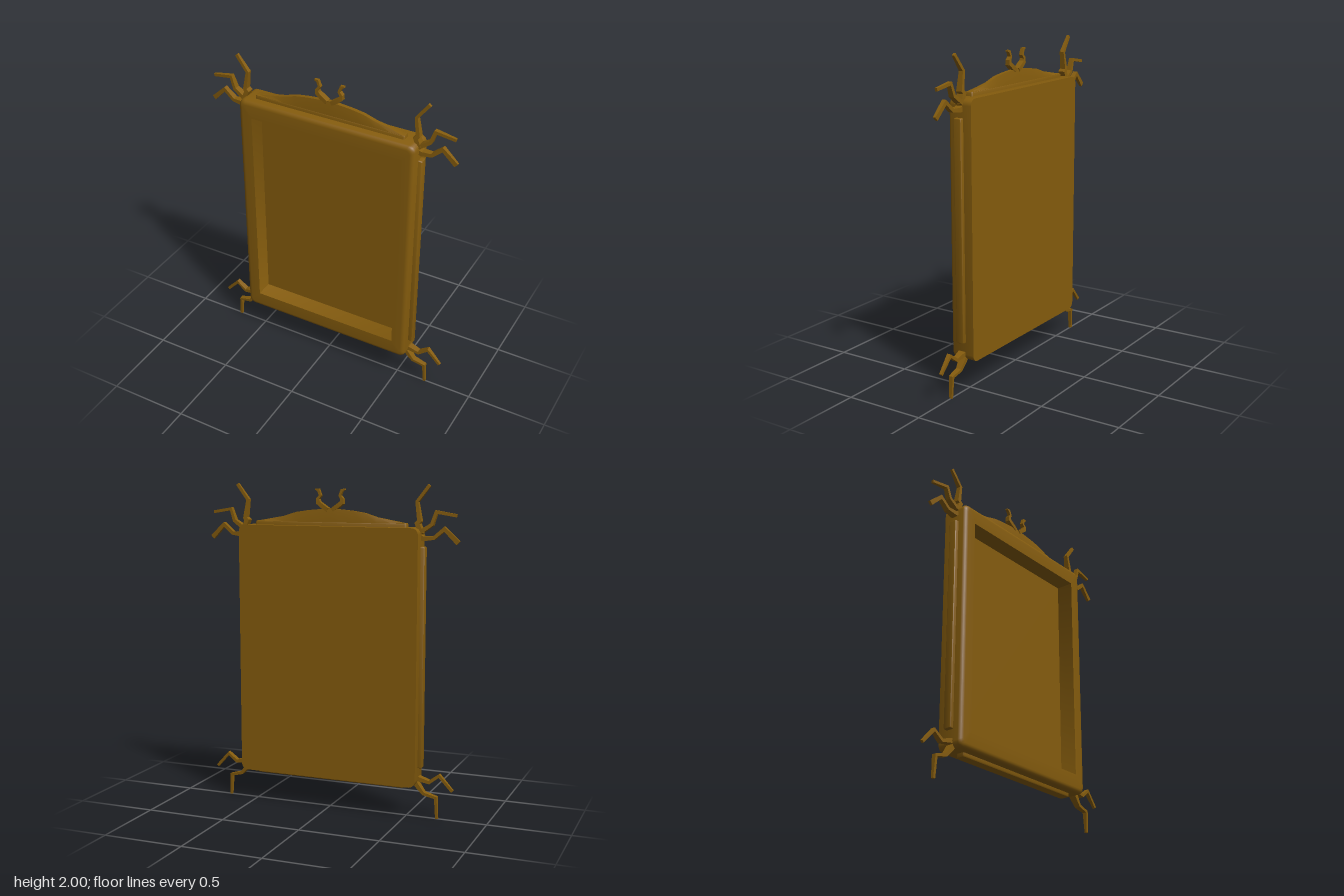
import * as THREE from 'three';
import { toCreasedNormals } from 'three/addons/utils/BufferGeometryUtils.js';

const V = (x, y, z) => new THREE.Vector3(x, y, z);
const material = new THREE.MeshStandardMaterial({ color: 0x855c0d });

// Skin between rings that run counter-clockwise about the direction of travel, with both ends capped
function loft(rings, crease = 0.6) {
  const n = rings[0].length, index = [];
  for (let r = 0; r < rings.length - 1; r++) {
    for (let i = 0; i < n; i++) {
      const a = r * n + i, b = r * n + (i + 1) % n;
      index.push(a, b, b + n, a, b + n, a + n);
    }
  }
  const last = (rings.length - 1) * n;
  for (let i = 1; i < n - 1; i++) {
    index.push(0, i + 1, i);
    index.push(last, last + i, last + i + 1);
  }
  const geometry = new THREE.BufferGeometry().setFromPoints(rings.flat());
  geometry.setIndex(index);
  return toCreasedNormals(geometry, crease);
}

// Rounded rectangle ring at depth z
function roundedRing(w, h, radius, z, steps = 5) {
  const points = [];
  [[1, 1], [-1, 1], [-1, -1], [1, -1]].forEach(([sx, sy], corner) => {
    for (let i = 0; i <= steps; i++) {
      const t = (corner + i / steps) * Math.PI / 2;
      points.push(V(sx * (w / 2 - radius) + radius * Math.cos(t),
        sy * (h / 2 - radius) + radius * Math.sin(t), z));
    }
  });
  return points;
}

// Jointed limb with a mitred rectangular section; joints are [x, y, halfWidth, halfDepth]
function limb(joints, side) {
  const p = joints.map(([x, y]) => new THREE.Vector2(x * side, y));
  const rings = joints.map(([, , w, d], i) => {
    const before = p[Math.max(i - 1, 0)], after = p[Math.min(i + 1, p.length - 1)];
    const d1 = (i ? p[i].clone().sub(before) : after.clone().sub(p[i])).normalize();
    const d2 = (i < p.length - 1 ? after.clone().sub(p[i]) : d1.clone()).normalize();
    const t = d1.clone().add(d2).normalize();
    const k = w / Math.max(t.dot(d1), 0.6);
    const nx = -t.y * k, ny = t.x * k;
    return [[-1, -1], [1, -1], [1, 1], [-1, 1]].map(([s, q]) => V(p[i].x + s * nx, p[i].y + s * ny, q * d));
  });
  return loft(rings, 0.3);
}

export function createModel() {
  const model = new THREE.Group();
  const add = (name, geometry) => {
    const mesh = new THREE.Mesh(geometry, material);
    mesh.name = name;
    model.add(mesh);
    return mesh;
  };

  // Tray-like frame: square back edge, rounded front edge, recessed panel
  const W = 1.15, H = 1.55, bevel = 0.03;
  const rings = [roundedRing(W, H, 0.04, -0.08)];
  for (let i = 0; i <= 5; i++) {
    const t = i / 5 * Math.PI / 2, inset = bevel * (1 - Math.cos(t));
    rings.push(roundedRing(W - 2 * inset, H - 2 * inset, 0.04 - inset * 0.5, 0.05 + bevel * Math.sin(t)));
  }
  rings.push(roundedRing(0.97, 1.33, 0.001, 0.08), roundedRing(0.97, 1.33, 0.001, -0.03));
  add('frame', loft(rings)).position.y = 0.975;

  // Raised strips along the four edges
  const strip = (w, h) => loft([
    roundedRing(w, h, 0.008, -0.02), roundedRing(w, h, 0.008, 0.017),
    roundedRing(w - 0.006, h - 0.006, 0.006, 0.023), roundedRing(w - 0.016, h - 0.016, 0.004, 0.025),
  ]);
  for (const [side, name] of [[1, 'leftStrip'], [-1, 'rightStrip']]) {
    add(name, strip(0.052, 1.33).rotateY(side * Math.PI / 2)).position.set(side * 0.575, 0.975, 0);
  }
  add('bottomStrip', strip(0.97, 0.052).rotateX(Math.PI / 2)).position.y = 0.2;
  add('topStrip', strip(0.97, 0.052).rotateX(-Math.PI / 2)).position.y = 1.75;

  // Arched crest narrowing to a ridge
  const half = [[0, 1.856], [0.05, 1.85], [0.14, 1.842], [0.22, 1.83], [0.3, 1.805], [0.39, 1.789], [0.475, 1.774]];
  const arch = [...half.slice(1).reverse().map(([x, y]) => [-x, y]), ...half];
  add('crest', loft(arch.map(([x, y]) => {
    const mid = Math.min(1.772, y - 0.002);
    return [[1.74, -0.024], [mid, -0.024], [y, -0.012], [y, 0.012], [mid, 0.024], [1.74, 0.024]]
      .map(([py, z]) => V(x, py, z));
  })));

  // Jointed legs at the corners and hooked mandibles on the crest
  const limbs = {
    UpperInnerLeg: [[0.575, 1.715, 0.014, 0.024], [0.55, 1.775, 0.014, 0.022], [0.562, 1.79, 0.012, 0.02],
      [0.545, 1.9, 0.009, 0.014], [0.618, 1.995, 0.01, 0.008]],
    UpperMiddleLeg: [[0.555, 1.715, 0.012, 0.024], [0.585, 1.735, 0.012, 0.022], [0.637, 1.77, 0.01, 0.018],
      [0.662, 1.842, 0.009, 0.014], [0.783, 1.822, 0.009, 0.008]],
    UpperOuterLeg: [[0.55, 1.7, 0.014, 0.024], [0.59, 1.687, 0.014, 0.022], [0.65, 1.692, 0.01, 0.018],
      [0.712, 1.745, 0.011, 0.014], [0.795, 1.665, 0.015, 0.008]],
    LowerOuterLeg: [[0.55, 0.24, 0.014, 0.024], [0.58, 0.242, 0.014, 0.022], [0.645, 0.226, 0.009, 0.018],
      [0.705, 0.272, 0.008, 0.014], [0.787, 0.182, 0.009, 0.008]],
    LowerInnerLeg: [[0.55, 0.23, 0.014, 0.024], [0.575, 0.195, 0.013, 0.022], [0.61, 0.152, 0.009, 0.018],
      [0.685, 0.133, 0.008, 0.014], [0.692, 0.002, 0.008, 0.008]],
    Mandible: [[0.015, 1.845, 0.012, 0.018], [0.05, 1.868, 0.013, 0.018], [0.076, 1.888, 0.012, 0.016],
      [0.078, 1.91, 0.009, 0.014], [0.063, 1.93, 0.007, 0.012], [0.076, 1.963, 0.008, 0.01], [0.096, 1.967, 0.004, 0.008]],
  };
  for (const [name, joints] of Object.entries(limbs)) {
    add('left' + name, limb(joints, 1));
    add('right' + name, limb(joints, -1));
  }
  return model;
}
